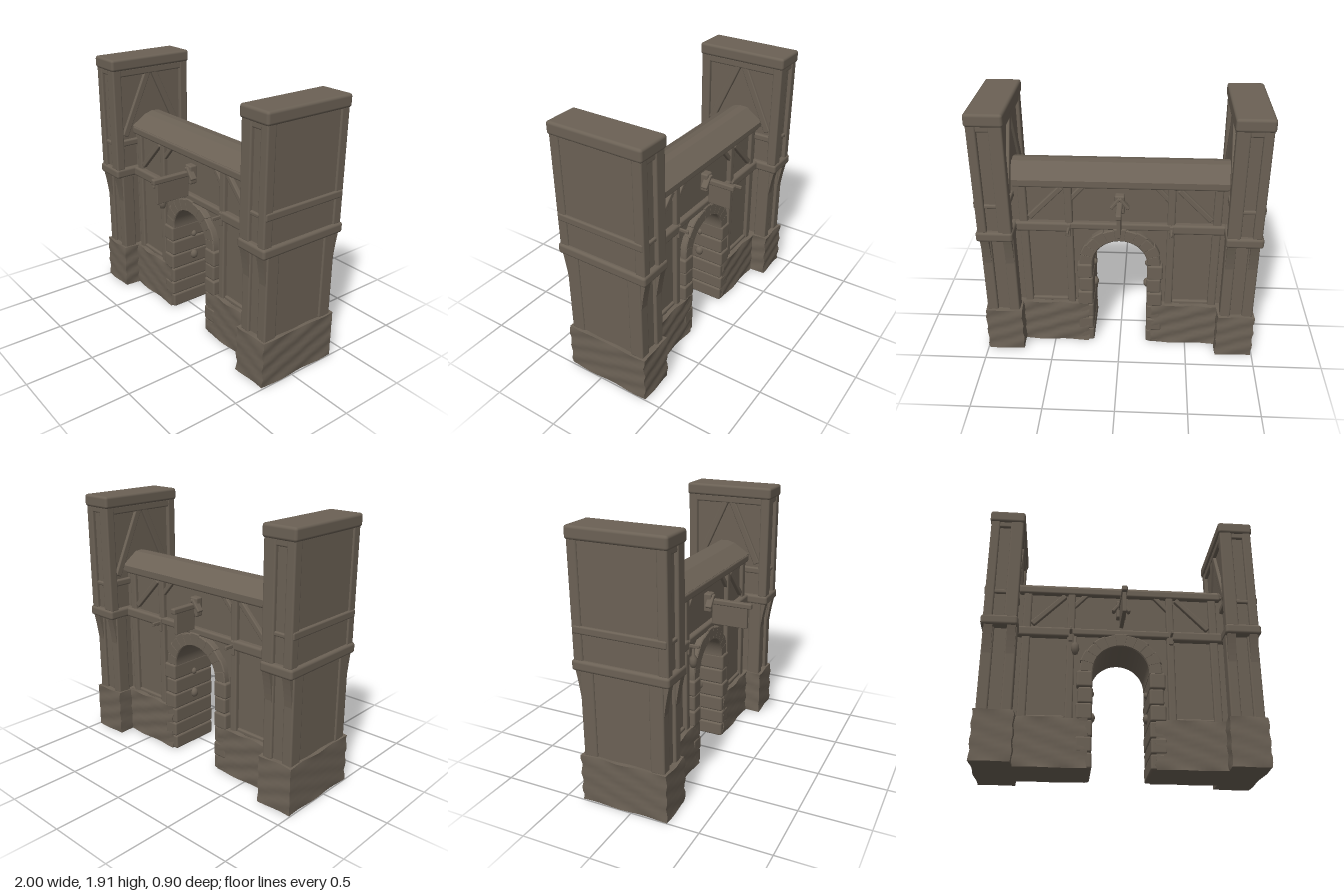
import * as THREE from 'three';
import { RoundedBoxGeometry } from 'three/addons/geometries/RoundedBoxGeometry.js';

const ZC = -0.055; // mid-plane of the wall and towers
const stone = new THREE.MeshStandardMaterial({ color: 0x6b6155 });
stone.name = 'weatheredStone';

export function createModel() {
  const root = new THREE.Group();
  root.name = 'gatehouse';

  const add = (name, geo, parent = root) => {
    const m = new THREE.Mesh(geo, stone);
    m.name = name;
    parent.add(m);
    return m;
  };
  // softly rounded timber or block given by its extents
  const block = (name, x0, x1, y0, y1, z0, z1, parent = root, r = 0.012) => {
    const w = Math.abs(x1 - x0), h = y1 - y0, d = Math.abs(z1 - z0);
    const m = add(name, new RoundedBoxGeometry(w, h, d, 2, Math.min(r, w / 3, h / 3, d / 3)), parent);
    m.position.set((x0 + x1) / 2, (y0 + y1) / 2, (z0 + z1) / 2);
    return m;
  };
  // rough masonry: subdivided box pushed about by smooth waves
  const masonry = (name, x0, x1, y0, y1, z0, z1, amp = 0.005) => {
    const w = Math.abs(x1 - x0), h = y1 - y0, d = Math.abs(z1 - z0);
    const seg = (v) => Math.max(2, Math.round(v / 0.035));
    const g = new THREE.BoxGeometry(w, h, d, seg(w), seg(h), seg(d));
    g.translate((x0 + x1) / 2, (y0 + y1) / 2, (z0 + z1) / 2);
    const p = g.attributes.position;
    for (let i = 0; i < p.count; i++) {
      const x = p.getX(i), y = p.getY(i), z = p.getZ(i);
      p.setXYZ(i,
        x + amp * Math.sin(y * 52 + z * 17),
        y < 0.001 ? 0 : y + amp * 0.6 * Math.sin(x * 31 + z * 23),
        z + amp * Math.sin(y * 52 + x * 19));
    }
    g.computeVertexNormals();
    return add(name, g);
  };
  // straight timber between two points in the (u, y) plane; axis tells which way u runs
  const brace = (name, u0, y0, u1, y1, at, width, depth, axis, parent = root) => {
    const len = Math.hypot(u1 - u0, y1 - y0), a = Math.atan2(y1 - y0, u1 - u0);
    const m = add(name, new RoundedBoxGeometry(len, width, depth, 2, 0.008), parent);
    if (axis === 'x') {
      m.position.set((u0 + u1) / 2, (y0 + y1) / 2, at);
      m.rotation.z = a;
    } else {
      m.position.set(at, (y0 + y1) / 2, (u0 + u1) / 2);
      m.rotation.set(0, -Math.PI / 2, a, 'YXZ');
    }
    return m;
  };

  // ---- Towers ----
  for (const s of [-1, 1]) {
    const X = (v) => s * v;
    masonry('towerBase', X(0.724), X(0.993), 0, 0.35, ZC - 0.322, ZC + 0.322);
    block('towerLowerCore', X(0.765), X(0.968), 0.33, 0.99, ZC - 0.28, ZC + 0.28);
    block('towerUpperCore', X(0.77), X(0.97), 1, 1.85, ZC - 0.315, ZC + 0.315);
    block('towerBelt', X(0.735), X(0.995), 0.965, 1.04, ZC - 0.352, ZC + 0.352, root, 0.02);
    block('towerCap', X(0.732), X(0.99), 1.82, 1.91, ZC - 0.352, ZC + 0.352, root, 0.02);
    for (const f of [-1, 1]) {
      const Z = (v) => ZC + f * v;
      block('lowerCornerPost', X(0.9), X(0.979), 0.34, 0.98, Z(0.2), Z(0.303));
      block('lowerInnerPost', X(0.74), X(0.815), 0.34, 0.98, Z(0.2), Z(0.303));
      block('upperCornerPost', X(0.915), X(0.981), 1.03, 1.84, Z(0.27), Z(0.342));
      block('upperInnerPost', X(0.742), X(0.835), 1.03, 1.84, Z(0.27), Z(0.342));
      block('frontRail', X(0.82), X(0.93), 1.22, 1.25, Z(0.3), Z(0.332));
      block('topRail', X(0.82), X(0.93), 1.78, 1.83, Z(0.3), Z(0.335));
      // flared brackets carrying the belt
      for (const x of [0.778, 0.94]) {
        const sh = new THREE.Shape();
        sh.moveTo(0, 0.72);
        sh.quadraticCurveTo(0.015, 0.86, 0.042, 0.975);
        sh.lineTo(0, 0.975);
        const g = new THREE.ExtrudeGeometry(sh, { depth: 0.06, bevelEnabled: false, curveSegments: 6 });
        const m = add('beltBracket', g);
        m.rotation.y = -f * Math.PI / 2;
        m.position.set(X(x) + f * 0.03, 0, Z(0.298));
      }
      // A-shaped bracing on the inner face
      brace('innerBrace', Z(0.25), 1.3, Z(0.02), 1.8, X(0.765), 0.05, 0.035, 'z');
    }
    block('innerTopRail', X(0.745), X(0.79), 1.77, 1.83, ZC - 0.3, ZC + 0.3);
    block('outerRail', X(0.95), X(0.988), 1.22, 1.275, ZC - 0.335, ZC + 0.335);
    block('innerRail', X(0.745), X(0.79), 1.22, 1.27, ZC - 0.33, ZC + 0.33);
  }

  // ---- Wall with arched passage ----
  const wall = new THREE.Shape();
  wall.moveTo(-0.78, 0.02);
  wall.lineTo(-0.22, 0.02);
  wall.lineTo(-0.22, 0.7);
  wall.absarc(0, 0.7, 0.22, Math.PI, 0, true);
  wall.lineTo(0.22, 0.02);
  wall.lineTo(0.78, 0.02);
  wall.lineTo(0.78, 1.36);
  wall.lineTo(-0.78, 1.36);
  const wallGeo = new THREE.ExtrudeGeometry(wall, { depth: 0.29, bevelEnabled: false, curveSegments: 20 });
  add('wallPanel', wallGeo).position.z = ZC - 0.145;
  for (const s of [-1, 1]) masonry('wallBase', s * 0.235, s * 0.75, 0, 0.35, ZC - 0.2, ZC + 0.2, 0.006);

  // arch stones: a ring of wedges and stacked jambs
  const N = 11, gap = 0.006;
  for (let i = 0; i < N; i++) {
    const a0 = (i / N) * Math.PI + gap, a1 = ((i + 1) / N) * Math.PI - gap;
    const R = 0.287 + 0.008 * (i % 2);
    const sh = new THREE.Shape();
    sh.absarc(0, 0.7, R, a0, a1, false);
    sh.absarc(0, 0.7, 0.207, a1, a0, true);
    const g = new THREE.ExtrudeGeometry(sh, {
      depth: 0.37, curveSegments: 4, bevelSize: 0.007, bevelThickness: 0.007, bevelSegments: 1,
    });
    add('archStone', g).position.z = ZC - 0.185;
  }
  for (const s of [-1, 1]) {
    const courses = [0, 0.11, 0.22, 0.34, 0.46, 0.58, 0.7];
    for (let i = 0; i < 6; i++) {
      const o = 0.006 * (i % 2);
      block('jambStone', s * (0.198 + o / 2), s * (0.302 + o * 2), courses[i], courses[i + 1],
        ZC - 0.197 - o, ZC + 0.197 + o, root, 0.015);
    }
    // gate hinge knobs inside the passage
    for (const [y, r] of [[0.42, 0.032], [0.6, 0.022]]) {
      const k = add('hingeKnob', new THREE.SphereGeometry(r, 12, 8));
      k.position.set(s * 0.2, y, ZC);
      k.scale.set(0.9, 1.15, 1);
    }
  }

  // ---- Wall timbers on both faces ----
  for (const f of [-1, 1]) {
    const Z = (v) => ZC + f * v;
    block('crossBeam', -0.75, 0.75, 0.985, 1.04, Z(0.1), Z(0.182), root, 0.015);
    block('eaveBeam', -0.75, 0.75, 1.315, 1.375, Z(0.1), Z(0.185), root, 0.015);
    for (const s of [-1, 1]) {
      block('wallPost', s * 0.335, s * 0.39, 0.33, 1.34, Z(0.1), Z(0.178));
      block('sidePost', s * 0.655, s * 0.715, 0.33, 1.34, Z(0.1), Z(0.172));
      block('sillRail', s * 0.39, s * 0.66, 0.34, 0.375, Z(0.1), Z(0.165));
      block('sideBeam', s * 0.36, s * 0.75, 0.965, 1.04, Z(0.1), Z(0.19), root, 0.018);
      brace('diagonalBrace', s * 0.645, 1.07, s * 0.41, 1.31, Z(0.155), 0.04, 0.035, 'x');
      brace('cornerBrace', s * 0.35, 1.22, s * 0.25, 1.33, Z(0.155), 0.035, 0.03, 'x');

      // lamp hooks on the posts
      block('lampHook', s * 0.357, s * 0.373, 0.985, 1.01, Z(0.16), Z(0.262), root, 0.005);
      block('hookPlate', s * 0.35, s * 0.38, 0.93, 1.03, Z(0.17), Z(0.192), root, 0.006);
    }

    // hanging sign across the wall
    const sign = new THREE.Group();
    sign.name = 'hangingSign';
    root.add(sign);
    block('signBoard', -0.014, 0.014, 1.04, 1.2, Z(0.2), f > 0 ? 0.415 : -0.43, sign, 0.005);
    block('signArm', -0.02, 0.02, 1.19, 1.23, Z(0.15), f > 0 ? 0.445 : -0.455, sign, 0.01);
    block('signMount', -0.035, 0.035, 1.13, 1.27, Z(0.14), Z(0.2), sign, 0.012);
    for (const s of [-1, 1]) brace('signHood', 0, 1.255, s * 0.062, 1.175, Z(0.19), 0.024, 0.05, 'x', sign);
  }

  // lantern hanging beside the arch
  const profile = [[0, 0.82], [0.018, 0.825], [0.03, 0.86], [0.027, 0.895], [0.012, 0.915], [0.01, 0.96], [0, 0.965]];
  const lantern = add('lantern', new THREE.LatheGeometry(profile.map(([x, y]) => new THREE.Vector2(x, y)), 12));
  lantern.position.set(-0.33, 0, 0.145);

  // ---- Roof ridge between the towers ----
  const roof = new THREE.Shape();
  [[0.122, 1.335], [0.122, 1.375], [0, 1.452], [-0.06, 1.468], [-0.12, 1.465], [-0.248, 1.375], [-0.248, 1.335]]
    .forEach(([z, y], i) => (i ? roof.lineTo(-z, y) : roof.moveTo(-z, y)));
  const roofGeo = new THREE.ExtrudeGeometry(roof, { depth: 1.52, bevelEnabled: false });
  const roofMesh = add('roof', roofGeo);
  roofMesh.rotation.y = Math.PI / 2;
  roofMesh.position.x = -0.76;

  return root;
}
